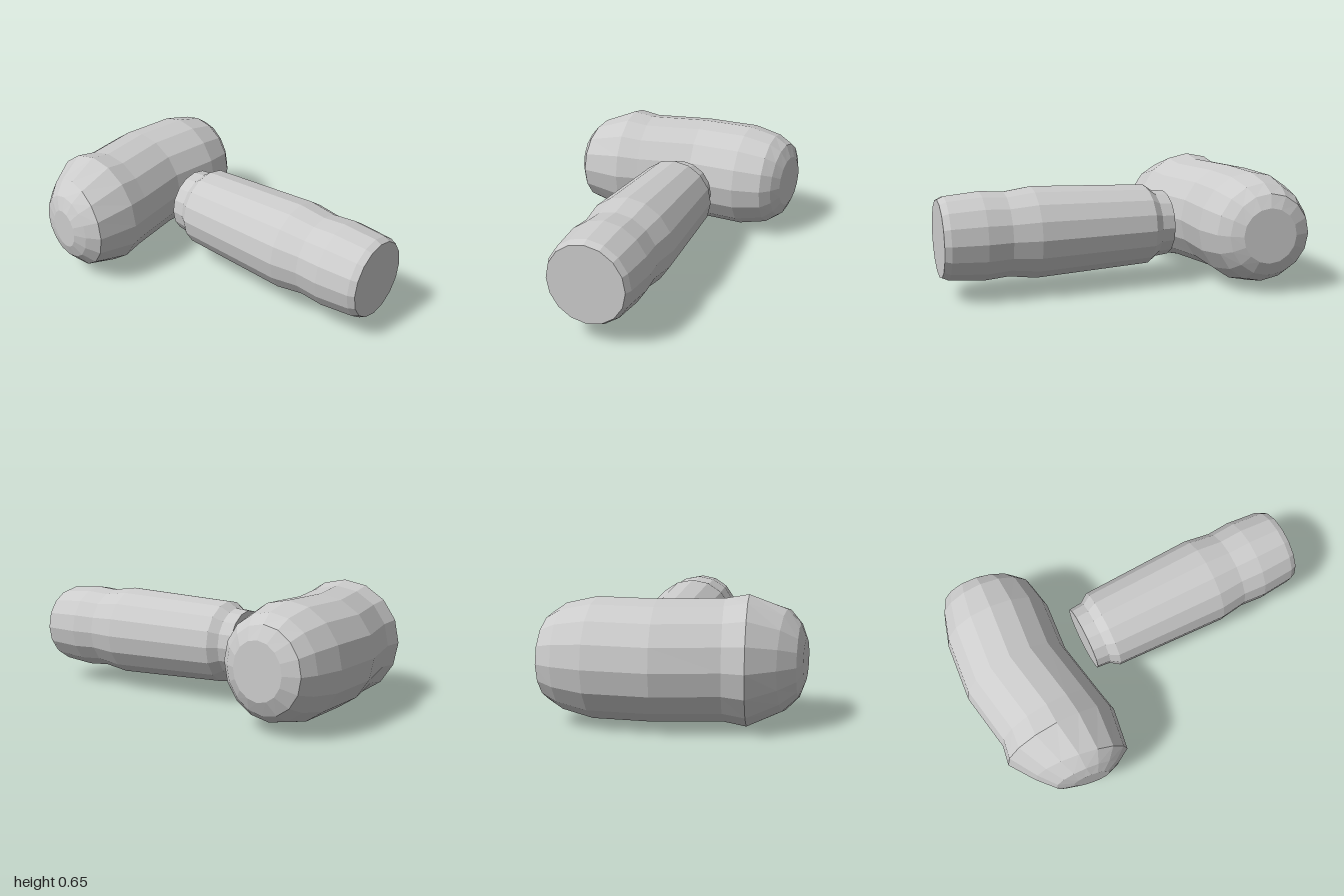
import * as THREE from 'three';

const SIDES = 16;
const material = new THREE.MeshStandardMaterial({ color: 0xcccccc, flatShading: true });

// Closed loft through tilted rings: [backX, backZ, frontX, frontZ, vertical radius], ordered along +x
function loft(rings, y) {
  const pos = [], index = [];
  for (const [bx, bz, fx, fz, ry] of rings) {
    const cx = (bx + fx) / 2, cz = (bz + fz) / 2;
    for (let j = 0; j < SIDES; j++) {
      const a = (j / SIDES) * Math.PI * 2, c = Math.cos(a);
      pos.push(cx + c * (fx - cx), y + Math.sin(a) * ry, cz + c * (fz - cz));
    }
  }
  const last = rings.length - 1;
  for (let i = 0; i < last; i++) {
    for (let j = 0; j < SIDES; j++) {
      const k = (j + 1) % SIDES;
      const a = i * SIDES + j, b = a + SIDES, c = i * SIDES + k, d = c + SIDES;
      index.push(a, b, c, b, d, c);
    }
  }
  // end caps
  for (let j = 1; j < SIDES - 1; j++) {
    const e = last * SIDES;
    index.push(0, j, j + 1, e, e + j + 1, e + j);
  }
  const g = new THREE.BufferGeometry();
  g.setAttribute('position', new THREE.Float32BufferAttribute(pos, 3));
  g.setIndex(index);
  const flat = g.toNonIndexed();
  flat.computeVertexNormals();
  return flat;
}

export function createModel() {
  const group = new THREE.Group();

  // Curved head lying across the back
  const head = new THREE.Mesh(loft([
    [-0.64, -0.69, -0.665, -0.49, 0.11],
    [-0.61, -0.78, -0.64, -0.42, 0.185],
    [-0.52, -0.86, -0.595, -0.345, 0.255],
    [-0.38, -0.957, -0.365, -0.31, 0.327],
    [-0.27, -0.94, -0.24, -0.335, 0.306],
    [0.06, -1.0, 0.08, -0.393, 0.305],
    [0.39, -0.975, 0.36, -0.37, 0.307],
    [0.55, -0.93, 0.52, -0.4, 0.27],
    [0.635, -0.887, 0.575, -0.45, 0.222],
    [0.66, -0.8, 0.615, -0.51, 0.15],
  ], 0.328), material);
  head.name = 'head';

  // Handle pointing forward, turned around the z axis
  const profile = [
    [0, -0.275], [0.183, -0.275], [0.19, -0.2], [0.225, -0.15], [0.251, 0.5],
    [0.23, 0.65], [0.24, 0.78], [0.224, 0.965], [0.208, 1], [0, 1],
  ].map(([r, z]) => new THREE.Vector2(r, z));
  const handle = new THREE.Mesh(new THREE.LatheGeometry(profile, SIDES).rotateX(Math.PI / 2), material);
  handle.position.set(0.083, 0.326, 0);
  handle.name = 'handle';

  group.add(head, handle);
  return group;
}
